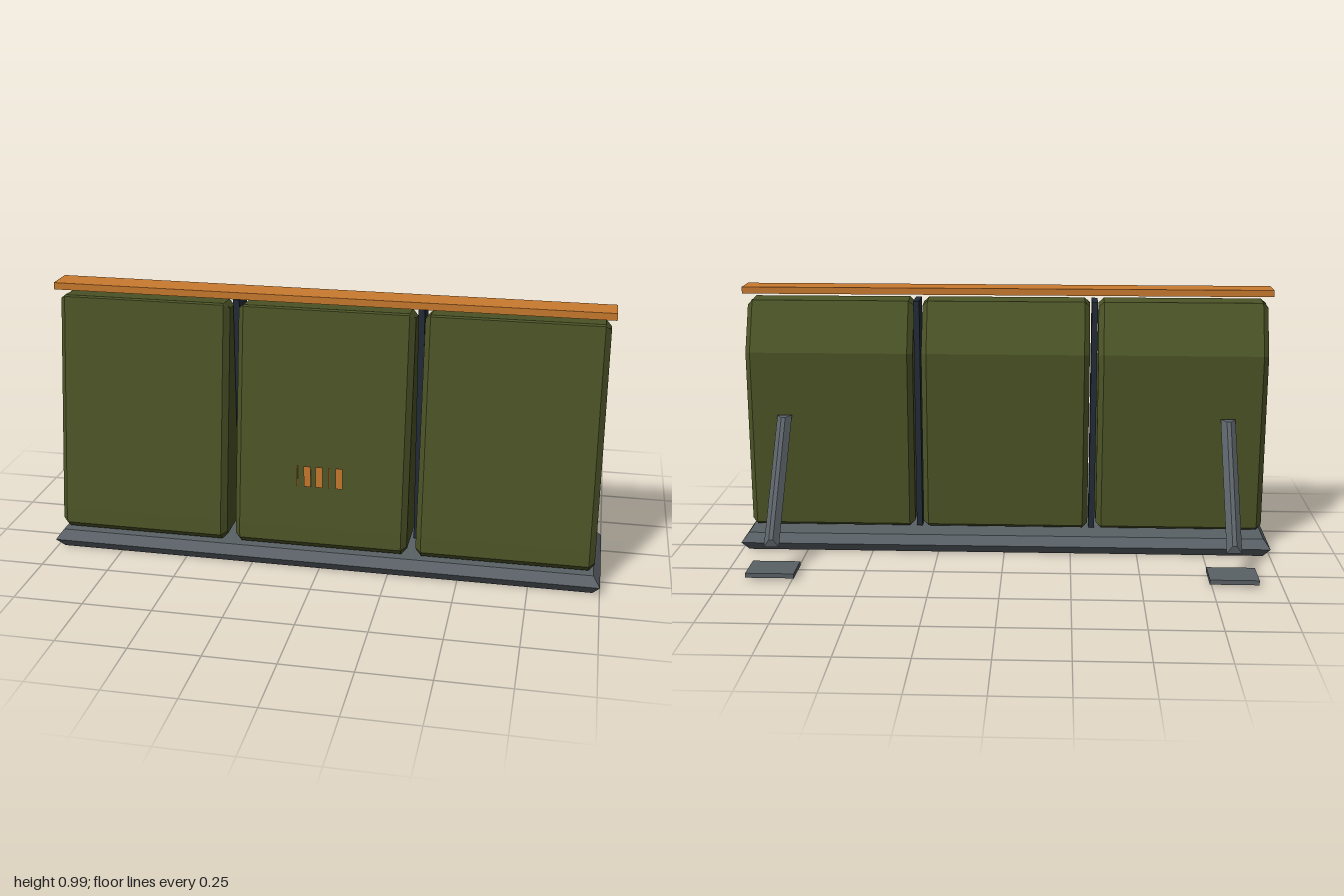
import * as THREE from 'three';

const paint = (color) => new THREE.MeshStandardMaterial({ color, flatShading: true });

// Slab that is widest at mid height and inset at its top and bottom faces
function chamferedSlab(w, h, d, inset) {
  const geo = new THREE.BoxGeometry(w, h, d, 1, 2, 1);
  const p = geo.attributes.position;
  for (let i = 0; i < p.count; i++) {
    if (Math.abs(p.getY(i)) < 1e-6) continue;
    p.setX(i, p.getX(i) - Math.sign(p.getX(i)) * inset);
    p.setZ(i, p.getZ(i) - Math.sign(p.getZ(i)) * inset);
  }
  geo.computeVertexNormals();
  return geo;
}

// Barrier panel: side profile (z, y) extruded across x with bevelled ends
function panelGeometry(width) {
  const bevel = 0.02;
  const profile = [
    [0.04, 0.085], [0.05, 0.075], [0.315, 0.075], [0.34, 0.1],
    [0.335, 0.16], [0.212, 0.935], [0.205, 0.94], [0.125, 0.935], [0.04, 0.75],
  ];
  const shape = new THREE.Shape(profile.map(([z, y]) => new THREE.Vector2(z, y)));
  const geo = new THREE.ExtrudeGeometry(shape, {
    depth: width - 2 * bevel, bevelEnabled: true, bevelSegments: 1,
    bevelSize: bevel, bevelThickness: bevel, bevelOffset: -bevel,
  });
  geo.translate(0, 0, -(width - 2 * bevel) / 2);
  geo.rotateY(-Math.PI / 2);
  return geo;
}

export function createModel() {
  const root = new THREE.Group();
  root.name = 'barricade';

  const olive = paint(0x4b5326);
  const orange = paint(0xc87a2e);
  const steel = paint(0x5a6166);
  const dark = paint(0x232c38);

  const add = (name, geo, mat, x = 0, y = 0, z = 0) => {
    const mesh = new THREE.Mesh(geo, mat);
    mesh.name = name;
    mesh.position.set(x, y, z);
    root.add(mesh);
    return mesh;
  };

  // Base plinth
  add('base', chamferedSlab(2, 0.067, 0.422, 0.025), steel, 0, 0.0335, 0.151);

  // Three armoured panels
  const panel = panelGeometry(0.63);
  [-0.662, 0, 0.662].forEach((x) => add('panel', panel, olive, x));

  // Dark dividers in the gaps
  for (const x of [-0.331, 0.331]) {
    add('divider', new THREE.BoxGeometry(0.022, 0.875, 0.105), dark, x, 0.507, 0.117);
  }

  // Floating top rail, very slightly skewed
  const rail = add('topRail', new THREE.BoxGeometry(1.985, 0.025, 0.105), orange, 0, 0.973, 0.166);
  rail.rotation.y = -0.003;

  // Thin marker bars on the middle panel: [x, width]
  for (const [x, w] of [[-0.083, 0.005], [-0.046, 0.025], [-0.003, 0.025], [0.034, 0.005], [0.069, 0.025]]) {
    add('markerBar', new THREE.BoxGeometry(w, 0.078, 0.003), orange, x, 0.351, 0.319);
  }

  // Rear braces and their foot plates
  const top = new THREE.Vector3(0, 0.513, 0.03);
  const bottom = new THREE.Vector3(0, 0.104, -0.298);
  const axis = top.clone().sub(bottom);
  for (const side of [-1, 1]) {
    const brace = add('brace', chamferedSlab(0.055, 0.041, axis.length(), 0.02), steel,
      side * 0.832, (top.y + bottom.y) / 2, (top.z + bottom.z) / 2);
    brace.rotation.x = -Math.atan2(axis.y, axis.z);
    add('footPlate', new THREE.BoxGeometry(0.175, 0.017, 0.128), steel, side * 0.829, 0.0185, -0.299);
  }

  return root;
}
